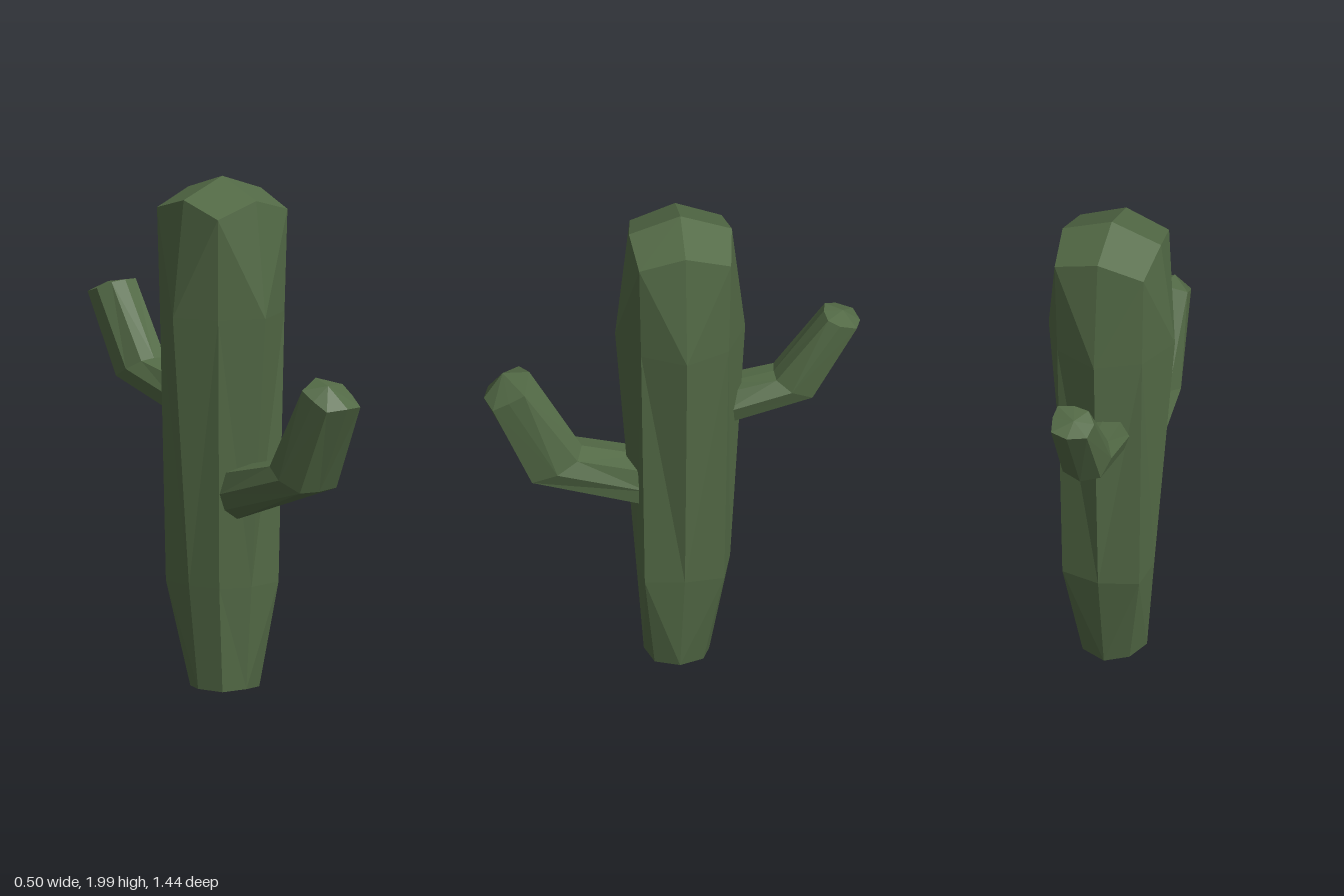
import * as THREE from 'three';

const green = new THREE.MeshStandardMaterial({ color: 0x536a46 });
green.name = 'cactus green';

// Faceted skin through eight-sided rings, closed with a point at each end
function loft(name, rings, start, end, flip = false) {
  const pos = [];
  const tri = (a, b, c) => pos.push(...a, ...(flip ? c : b), ...(flip ? b : c));
  const n = rings[0].length;
  const last = rings[rings.length - 1];
  for (let i = 0; i < n; i++) {
    const j = (i + 1) % n;
    for (let r = 0; r + 1 < rings.length; r++) {
      const a = rings[r], b = rings[r + 1];
      if (i % 2 === 0) {
        tri(a[i], a[j], b[j]);
        tri(a[i], b[j], b[i]);
      } else {
        tri(a[i], a[j], b[i]);
        tri(a[j], b[j], b[i]);
      }
    }
    tri(rings[0][j], rings[0][i], start);
    tri(last[i], last[j], end);
  }
  const geo = new THREE.BufferGeometry();
  geo.setAttribute('position', new THREE.Float32BufferAttribute(pos, 3));
  geo.computeVertexNormals(); // unshared corners give flat facets
  const mesh = new THREE.Mesh(geo, green);
  mesh.name = name;
  return mesh;
}

// Trunk ring: four axis points and four corner points around a centre
function trunkRing({ y, yCorner = y, z, rx, front, back, corner, straight = corner, tilt = 0 }) {
  const c = corner;
  return [
    [rx, y, z], [c, yCorner, z - c], [0, y - tilt, z - back], [-c, yCorner, z - c],
    [-rx, y, z], [-straight, yCorner, z + straight], [0, y, z + front], [c, yCorner, z + c],
  ];
}

// Arm ring: top point, three left/right pairs [xMin, xMax, y, z], bottom point
function armRing(top, pairs, bottom) {
  return [
    top, ...pairs.map(([x, , y, z]) => [x, y, z]),
    bottom, ...pairs.map(([, x, y, z]) => [x, y, z]).reverse(),
  ];
}

export function createModel() {
  const group = new THREE.Group();
  group.name = 'cactus';

  // Trunk, narrow at the foot and widest high up
  group.add(loft('trunk', [
    trunkRing({ y: 0.03, yCorner: 0.025, z: -0.015, rx: 0.135, front: 0.125, back: 0.125, corner: 0.093, tilt: 0.02 }),
    trunkRing({ y: 0.43, z: -0.03, rx: 0.168, front: 0.17, back: 0.19, corner: 0.152, straight: 0.118 }),
    trunkRing({ y: 1.48, z: -0.03, rx: 0.25, front: 0.25, back: 0.248, corner: 0.168, straight: 0.16 }),
    trunkRing({ y: 1.93, yCorner: 1.875, z: -0.03, rx: 0.195, front: 0.197, back: 0.197, corner: 0.176 }),
  ], [0, 0.018, -0.015], [0, 2, -0.03]));

  // Lower arm reaching forward, then bending upward
  group.add(loft('frontArm', [
    armRing([-0.02, 0.9, 0.1],
      [[-0.11, 0.07, 0.88, 0.1], [-0.13, 0.085, 0.8, 0.1], [-0.11, 0.08, 0.735, 0.1]],
      [-0.06, 0.69, 0.1]),
    armRing([-0.02, 0.96, 0.345],
      [[-0.11, 0.065, 0.945, 0.37], [-0.135, 0.095, 0.905, 0.45], [-0.11, 0.075, 0.865, 0.545]],
      [-0.02, 0.862, 0.555]),
    armRing([-0.03, 1.305, 0.545],
      [[-0.125, 0.08, 1.27, 0.575], [-0.12, 0.077, 1.235, 0.635], [-0.105, 0.065, 1.2, 0.695]],
      [-0.02, 1.205, 0.72]),
  ], [-0.02, 0.8, 0.1], [-0.055, 1.29, 0.645]));

  // Upper arm reaching backward, then bending upward
  group.add(loft('backArm', [
    armRing([-0.025, 1.205, -0.18],
      [[-0.09, 0.04, 1.2, -0.18], [-0.12, 0.07, 1.13, -0.18], [-0.1, 0.05, 1.065, -0.18]],
      [-0.025, 1.04, -0.18]),
    armRing([-0.03, 1.245, -0.39],
      [[-0.09, 0.03, 1.24, -0.395], [-0.12, 0.07, 1.205, -0.45], [-0.1, 0.05, 1.165, -0.53]],
      [-0.025, 1.15, -0.555]),
    armRing([-0.01, 1.52, -0.58],
      [[-0.07, 0.052, 1.515, -0.59], [-0.105, 0.06, 1.49, -0.635], [-0.095, 0.047, 1.468, -0.7]],
      [-0.02, 1.462, -0.72]),
  ], [-0.025, 1.12, -0.18], [-0.03, 1.505, -0.655], true));

  return group;
}
